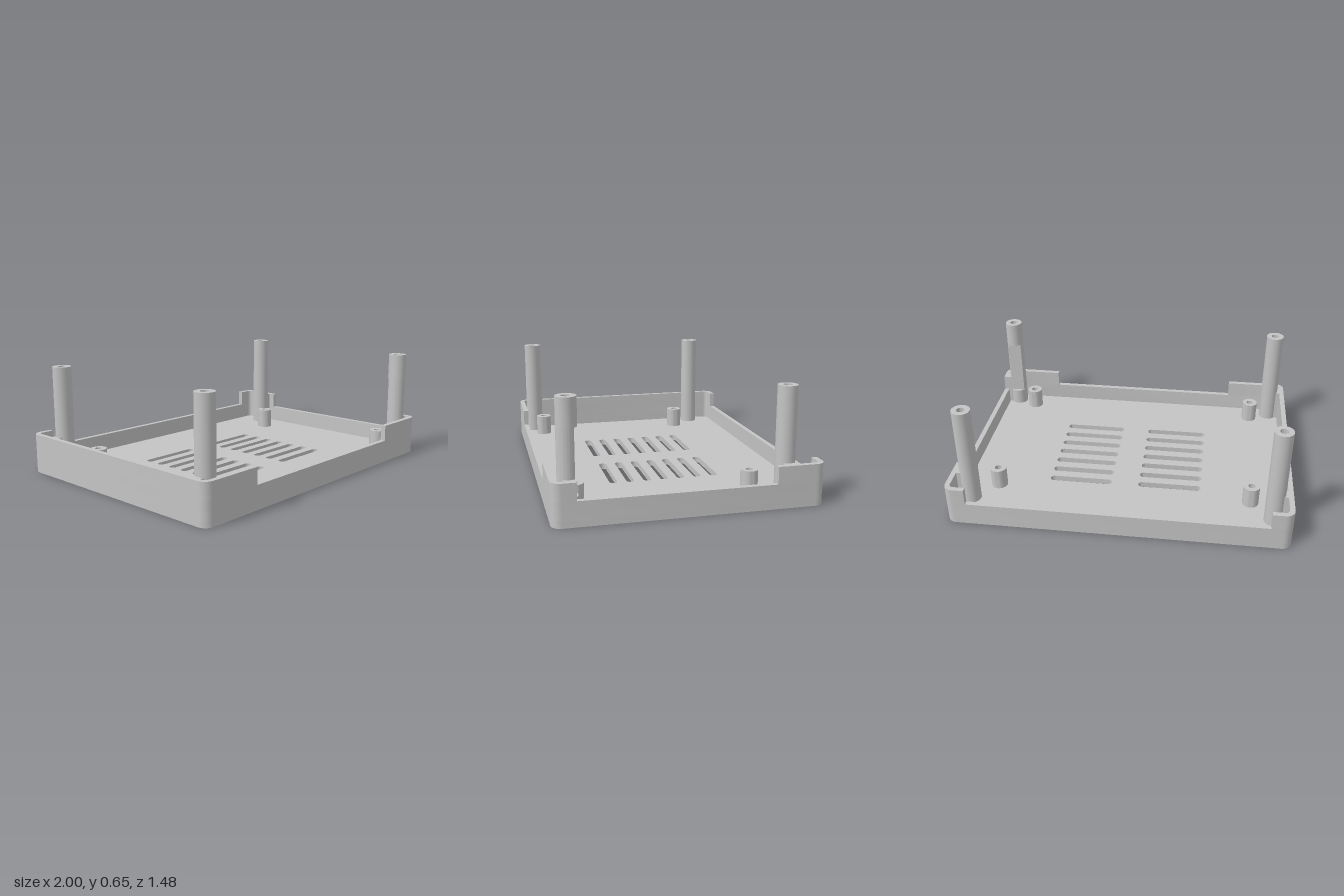
import * as THREE from 'three';
import { toCreasedNormals } from 'three/addons/utils/BufferGeometryUtils.js';

const HALF_X = 1, HALF_Z = 0.738, RADIUS = 0.055, WALL = 0.03;
const FLOOR = 0.035, SILL = 0.138, RIM = 0.235, POST_TOP = 0.655;

export function createModel() {
  const model = new THREE.Group();
  const grey = new THREE.MeshStandardMaterial({ color: 0xc4c4c4 });
  grey.name = 'grey plastic';

  // Raises a plan outline (x, z) from height y0 to y1
  function raise(name, shape, y0, y1, parent = model) {
    const geo = new THREE.ExtrudeGeometry(shape, { depth: y1 - y0, bevelEnabled: false, curveSegments: 16 });
    geo.rotateX(Math.PI / 2).translate(0, y1, 0);
    const mesh = new THREE.Mesh(toCreasedNormals(geo, 0.5), grey);
    mesh.name = name;
    parent.add(mesh);
    return mesh;
  }

  // Rounded corner, running from the front or back wall to the side wall
  function corner(sx, sz, inset = 0) {
    const r = RADIUS - inset;
    return Array.from({ length: 9 }, (_, i) => {
      const a = (i / 8) * Math.PI / 2;
      return new THREE.Vector2(
        sx * (HALF_X - RADIUS + r * Math.sin(a)),
        sz * (HALF_Z - RADIUS + r * Math.cos(a)));
    });
  }
  // Counter-clockwise, so that holes are wound to face inwards
  const outline = (inset) => [
    ...corner(-1, 1, inset), ...corner(-1, -1, inset).reverse(),
    ...corner(1, -1, inset), ...corner(1, 1, inset).reverse()];

  // Floor with two columns of vent slots
  const floor = new THREE.Shape(outline(0));
  for (const cx of [-0.277, 0.277]) {
    for (let i = 0; i < 7; i++) {
      const z = -0.288 + i * 0.101, r = 0.023, half = 0.194 - r;
      const slot = new THREE.Path();
      slot.absarc(cx + half, z, r, -Math.PI / 2, Math.PI / 2, false);
      slot.absarc(cx - half, z, r, Math.PI / 2, Math.PI * 1.5, false);
      slot.closePath();
      floor.holes.push(slot);
    }
  }
  raise('ventedFloor', floor, 0, FLOOR);

  // Low wall all the way round
  const ring = new THREE.Shape(outline(0));
  ring.holes.push(new THREE.Path(outline(WALL)));
  raise('lowerWall', ring, FLOOR, SILL);

  // Raised wall sections between the cutouts
  const v = (x, z) => new THREE.Vector2(x, z);
  const strip = (outer, inner) => new THREE.Shape([...outer, ...inner.reverse()]);
  const onFrontBack = (x, s, d) => v(x, s * (HALF_Z - d));
  const leftRun = (d) => [onFrontBack(-0.62, 1, d), ...corner(-1, 1, d),
    ...corner(-1, -1, d).reverse(), onFrontBack(-0.875, -1, d)];
  const frontRun = (d) => [onFrontBack(0.62, 1, d), ...corner(1, 1, d), v(HALF_X - d, 0.607)];
  const backRun = (d) => [onFrontBack(0.875, -1, d), ...corner(1, -1, d), v(HALF_X - d, -0.463)];
  for (const [name, run] of [['sideUpperWall', leftRun], ['frontCornerUpperWall', frontRun], ['backCornerUpperWall', backRun]]) {
    raise(name, strip(run(0), run(WALL)), SILL, RIM);
  }

  // Tube plan; a cut depth trims its back to a flat
  function tubeShape(r, hole, cut = r) {
    const shape = new THREE.Shape();
    if (cut < r) {
      const a = Math.asin(cut / r);
      shape.absarc(0, 0, r, -a, Math.PI + a, false);
      shape.closePath();
    } else shape.absarc(0, 0, r, 0, Math.PI * 2, false);
    const bore = new THREE.Path();
    bore.absarc(0, 0, hole, 0, Math.PI * 2, true);
    shape.holes.push(bore);
    return shape;
  }

  // Tall corner posts, each tied to the side wall by a short web
  const postShape = tubeShape(0.055, 0.024);
  for (const sx of [-1, 1]) {
    for (const z of [-0.538, 0.64]) {
      const post = new THREE.Group();
      post.name = 'cornerPost';
      post.position.set(sx * 0.902, 0, z);
      model.add(post);
      if (sx > 0 && z > 0) {
        // This post has a flat clearance notch
        raise('postFoot', postShape, FLOOR, SILL, post);
        raise('notchedPostShaft', tubeShape(0.055, 0.024, 0.033), SILL, 0.5, post);
        raise('postHead', postShape, 0.5, POST_TOP, post);
      } else raise('postShaft', postShape, FLOOR, POST_TOP, post);
      const web = new THREE.Shape([v(sx * 0.04, -0.033), v(sx * 0.07, -0.033),
        v(sx * 0.07, 0.033), v(sx * 0.04, 0.033)]);
      raise('postWeb', web, FLOOR, RIM, post);
    }
  }

  // Short board standoffs
  for (const x of [-0.772, 0.772]) {
    for (const z of [-0.387, 0.587]) {
      raise('boardStandoff', tubeShape(0.049, 0.021), FLOOR, 0.16).position.set(x, 0, z);
    }
  }
  return model;
}
